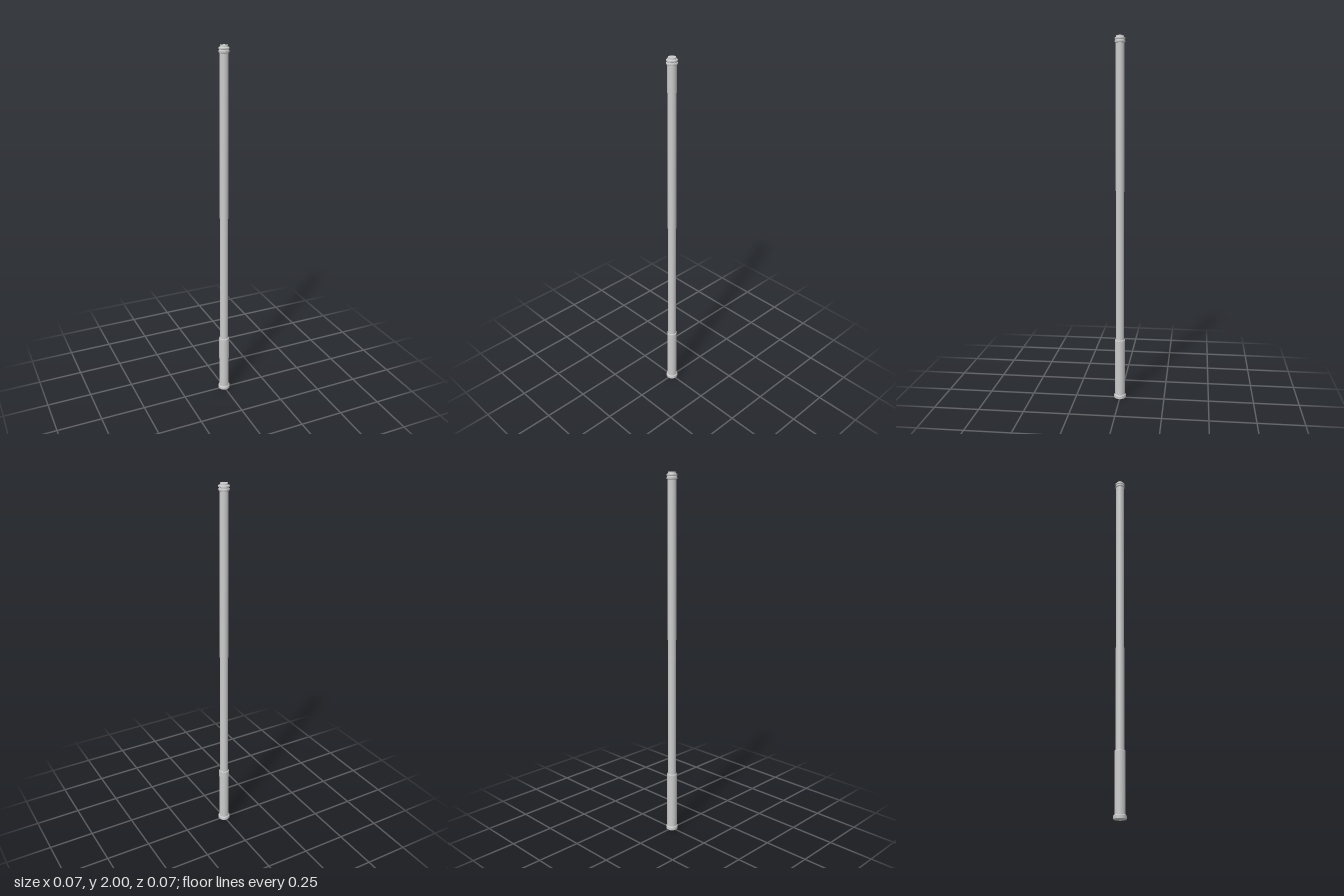
import * as THREE from 'three';

const material = new THREE.MeshStandardMaterial({ color: 0xcccccc });

// Turned part: every profile segment is its own lathe band, so edges stay crisp.
function turned(name, profile) {
  const part = new THREE.Group();
  part.name = name;
  for (let i = 0; i < profile.length - 1; i++) {
    const points = [profile[i], profile[i + 1]].map(([r, y]) => new THREE.Vector2(r, y));
    const band = new THREE.Mesh(new THREE.LatheGeometry(points, 48), material);
    band.name = name + 'Band';
    part.add(band);
  }
  return part;
}

export function createModel() {
  const model = new THREE.Group();
  model.name = 'staff';

  // Pommel flange with a shallow recess underneath
  model.add(turned('pommel', [
    [0, 0.003], [0.022, 0.003], [0.024, 0], [0.031, 0], [0.033, 0.003],
    [0.033, 0.018], [0.031, 0.021], [0.028, 0.022],
  ]));

  // Thicker grip sleeve
  model.add(turned('grip', [[0.028, 0.02], [0.028, 0.338], [0.027, 0.342], [0.023, 0.343]]));

  // Long plain shaft
  model.add(turned('shaft', [[0.023, 0.34], [0.023, 1.965]]));

  // Grooved end cap, stepping in to a small flat tip
  model.add(turned('endCap', [
    [0.023, 1.962], [0.027, 1.964], [0.028, 1.967], [0.028, 1.973], [0.025, 1.975],
    [0.025, 1.979], [0.028, 1.981], [0.028, 1.988], [0.026, 1.99],
    [0.021, 1.991], [0.02, 2], [0, 2],
  ]));

  return model;
}
